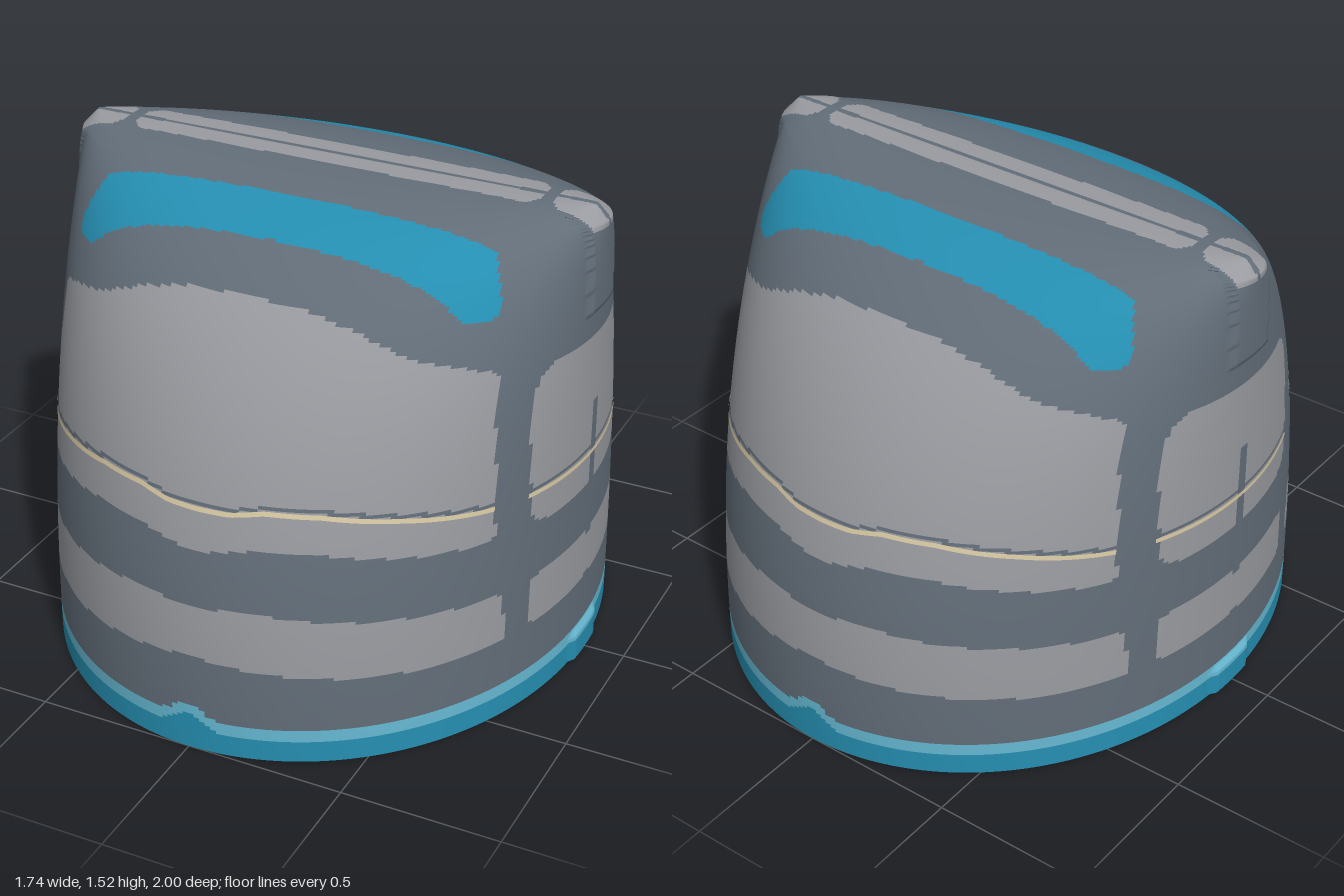
import * as THREE from 'three';

const HEIGHT = 1.52, POWER = 2.3, SEGMENTS = 300, LOW_ROWS = 130, TOP_ROWS = 70, SPLIT = 1.3;

// Piecewise linear curve through [x, value] pairs
const curve = (pts) => (x) => {
  for (let i = 1; i < pts.length; i++) {
    const [x0, y0] = pts[i - 1], [x1, y1] = pts[i];
    if (x <= x1) return y0 + (y1 - y0) * (x - x0) / (x1 - x0);
  }
  return pts[pts.length - 1][1];
};

// Half depth of the cap at a height, and the reverse
const depthAt = (y) => Math.pow(Math.max(0, 1 - Math.pow(y / HEIGHT, POWER)), 1 / POWER);
const heightAt = (d) => HEIGHT * Math.pow(1 - Math.pow(d, POWER), 1 / POWER);

// Point on the cap: oval cross-sections closing to a straight ridge on top
function surfacePoint(t, y, depth, offset = 0) {
  let half = 0.858 - Math.max(0, y - 1.475) * 0.9;
  if ((y > 1.21 || y < 0.1) && Math.abs(depth * Math.sin(t)) < 0.09) half += 0.012;
  return [(half + offset) * Math.cos(t), y, (depth + offset) * Math.sin(t)];
}

// Edges of the knitted panels
const piping = curve([[0, 0.77], [0.1, 0.772], [0.2, 0.79], [0.35, 0.788], [0.55, 0.763], [0.75, 0.727], [0.87, 0.716]]);
const lowBottom = curve([[0, 0.32], [0.2, 0.302], [0.5, 0.278], [0.75, 0.267], [0.87, 0.265]]);
const lowTop = curve([[0, 0.475], [0.15, 0.493], [0.5, 0.462], [0.75, 0.437], [0.87, 0.435]]);
const midBottom = curve([[0, 0.645], [0.2, 0.682], [0.35, 0.68], [0.5, 0.657], [0.75, 0.625], [0.87, 0.615]]);
const panelTop = curve([[0, 1.31], [0.2, 1.295], [0.35, 1.26], [0.5, 1.2], [0.62, 1.17], [0.76, 1.12]]);
const narrowing = (y) => 1.3 * Math.max(0, y - 0.9) ** 2;
const sideEdge = (y) => 0.342 - narrowing(y);
const frontEdge = (y) => curve([[0.27, 0.44], [0.7, 0.475], [1, 0.445], [1.2, 0.38]])(Math.max(0.27, y));

// True inside a band with rounded corners; u is the distance to its upright edge
function inBand(u, y, bottom, top, r) {
  const v = Math.min(y - bottom, top - y);
  if (u < 0 || v < 0) return false;
  return u >= r || v >= r || (r - u) ** 2 + (r - v) ** 2 <= r * r;
}

function inPanel(ax, y, az) {
  const line = piping(ax);
  if (y > line + 0.008 && y < line + 0.02) return false;
  const front = az - frontEdge(y), side = sideEdge(y) - az;
  if (front >= 0) {
    return inBand(front, y, lowBottom(ax), lowTop(ax), 0.03)
      || inBand(front, y, midBottom(ax), panelTop(ax), 0.03);
  }
  // Centre seam between the two halves of each side
  const seam = y < 0.5 ? Math.abs(y - 0.352) * 0.15 : 0.022 * Math.min(1, Math.max(0, (0.93 - y) / 0.1));
  if (az < seam) return false;
  return inBand(side, y, 0.268, 0.435, 0.035) || inBand(side, y, 0.615, 1.12, 0.06);
}

// Which part a spot on the cap belongs to
function partAt(x, y, z) {
  const ax = Math.abs(x), az = Math.abs(z);
  const peak = az > 0.4 ? 0.048 * Math.exp(-((ax / 0.06) ** 2)) : 0;
  if (y < 0.07 + peak) return 'brim';
  if (y < 0.108 + peak) return 'brimTrim';
  if (y > 1.28 && az > 0.27 && az < 0.437 && ax < 0.69 - 0.7 * Math.abs(az - 0.355)) return 'stripes';
  if (y > 1.46) {
    const pinch = Math.min(0.078, 0.02 + Math.abs(ax - 0.69) * 1.2);
    const gap = Math.abs(ax - 0.69) < 0.02;
    return az > 0.009 && az < pinch && !gap ? 'panels' : 'shell';
  }
  return inPanel(ax, y, az) ? 'panels' : 'shell';
}

function makeMesh(name, geometry, material) {
  const mesh = new THREE.Mesh(geometry, material);
  mesh.name = name;
  return mesh;
}

export function createModel() {
  const group = new THREE.Group();
  group.name = 'knittedCap';
  const paint = (name, color) => new THREE.MeshStandardMaterial({ name, color, side: THREE.DoubleSide });
  const slate = paint('slate', 0x626d78), grey = paint('grey', 0x989a9f), teal = paint('teal', 0x258fb2);
  const paleTeal = paint('paleTeal', 0x66b8d2), cream = paint('cream', 0xd9caa4);
  const materials = { shell: slate, panels: grey, brim: teal, brimTrim: paleTeal, stripes: teal };

  // Smooth cap surface, rows from the open rim up to the ridge
  const positions = [], index = [];
  const rows = LOW_ROWS + TOP_ROWS;
  for (let j = 0; j <= rows; j++) {
    const low = j <= LOW_ROWS;
    const depth = low ? depthAt(SPLIT * j / LOW_ROWS) : depthAt(SPLIT) * (rows - j) / TOP_ROWS;
    const y = low ? SPLIT * j / LOW_ROWS : heightAt(depth);
    for (let i = 0; i < SEGMENTS; i++) {
      positions.push(...surfacePoint(i / SEGMENTS * Math.PI * 2, y, depth));
    }
  }

  // Share the faces out among the coloured parts
  const faces = {};
  for (const name in materials) faces[name] = [];
  for (let j = 0; j < rows; j++) {
    for (let i = 0; i < SEGMENTS; i++) {
      const next = (i + 1) % SEGMENTS;
      const a = j * SEGMENTS + i, b = j * SEGMENTS + next, c = a + SEGMENTS, d = b + SEGMENTS;
      const mid = [0, 1, 2].map((k) =>
        (positions[a * 3 + k] + positions[b * 3 + k] + positions[c * 3 + k] + positions[d * 3 + k]) / 4);
      const quad = [a, c, b, b, c, d];
      faces[partAt(...mid)].push(...quad);
      index.push(...quad);
    }
  }
  const cap = new THREE.BufferGeometry();
  cap.setAttribute('position', new THREE.Float32BufferAttribute(positions, 3));
  cap.setIndex(index);
  cap.computeVertexNormals();
  for (const name in materials) {
    cap.setIndex(faces[name]);
    group.add(makeMesh(name, cap.toNonIndexed(), materials[name]));
  }

  // Thin piping around the panels, outside and inside
  for (const [name, offset] of [['outerPiping', 0.003], ['innerPiping', -0.003]]) {
    const pts = [], tris = [];
    for (let i = 0; i <= SEGMENTS; i++) {
      const t = i / SEGMENTS * Math.PI * 2;
      const y = piping(Math.abs(0.858 * Math.cos(t)));
      for (const h of [y - 0.006, y + 0.008]) pts.push(...surfacePoint(t, h, depthAt(h), offset));
      const az = Math.abs(pts[pts.length - 1]);
      const k = i * 2;
      if (i < SEGMENTS && (az < sideEdge(y) || az > frontEdge(y))) {
        tris.push(k, k + 1, k + 2, k + 2, k + 1, k + 3);
      }
    }
    const ribbon = new THREE.BufferGeometry();
    ribbon.setAttribute('position', new THREE.Float32BufferAttribute(pts, 3));
    ribbon.setIndex(tris);
    ribbon.computeVertexNormals();
    group.add(makeMesh(name, ribbon, cream));
  }
  return group;
}
